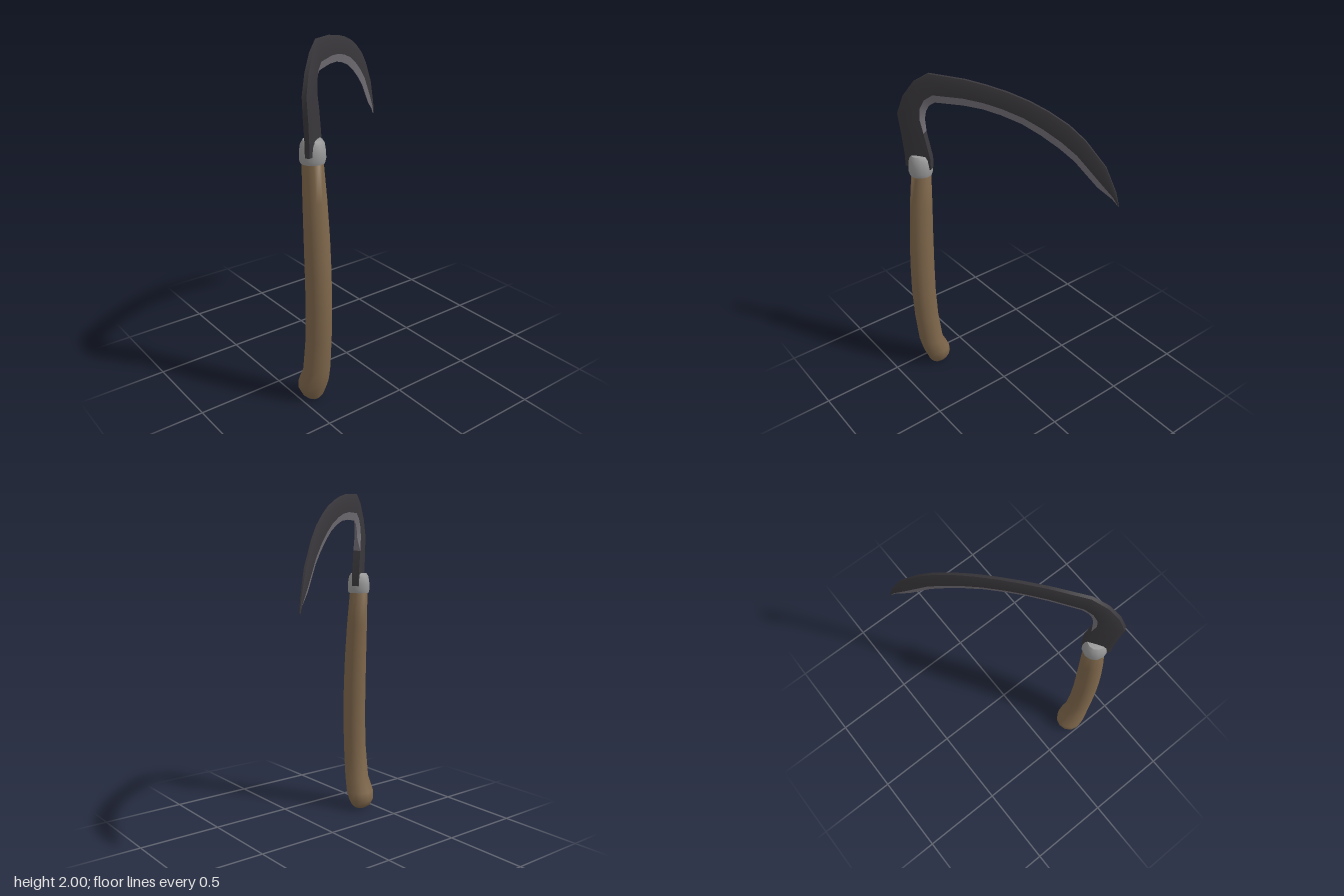
import * as THREE from 'three';
import { toCreasedNormals } from 'three/addons/utils/BufferGeometryUtils.js';

// Skin a list of closed rings (each a list of [x, y, z]) and cap both ends.
function loft(rings, crease) {
  const n = rings[0].length, last = (rings.length - 1) * n;
  const pos = rings.flat(2), index = [];
  for (let i = 0; i < rings.length - 1; i++) {
    for (let j = 0; j < n; j++) {
      const a = i * n + j, b = i * n + (j + 1) % n;
      index.push(a, a + n, b, b, a + n, b + n);
    }
  }
  for (let j = 1; j < n - 1; j++) {
    index.push(0, j, j + 1, last, last + j + 1, last + j);
  }
  const geo = new THREE.BufferGeometry();
  geo.setAttribute('position', new THREE.Float32BufferAttribute(pos, 3));
  geo.setIndex(index);
  geo.computeVertexNormals();
  return crease ? toCreasedNormals(geo, crease) : geo;
}

function part(name, geo, color) {
  const mesh = new THREE.Mesh(geo, new THREE.MeshStandardMaterial({ color }));
  mesh.name = name;
  return mesh;
}

export function createModel() {
  const model = new THREE.Group();
  model.name = 'sickle';

  // Wooden handle: [y, left edge x, right edge x, half depth]
  const grip = [
    [0, 0.2, 0.28, 0.04], [0.02, 0.17, 0.293, 0.062], [0.06, 0.152, 0.308, 0.082],
    [0.11, 0.158, 0.328, 0.087], [0.2, 0.2, 0.35, 0.076], [0.4, 0.223, 0.37, 0.071],
    [0.6, 0.23, 0.378, 0.07], [0.8, 0.228, 0.374, 0.07], [1, 0.223, 0.363, 0.068],
    [1.2, 0.215, 0.347, 0.063], [1.42, 0.209, 0.321, 0.055],
  ];
  const sides = 12;
  const gripRings = grip.map(([y, x0, x1, d]) => Array.from({ length: sides }, (_, j) => {
    const a = j / sides * Math.PI * 2;
    return [(x0 + x1) / 2 + Math.cos(a) * (x1 - x0) / 2, y, 0.42 + Math.sin(a) * d];
  }));
  model.add(part('handle', loft(gripRings), 0x80684c));

  // Domed metal collar
  const profile = [[0, 1.4], [0.064, 1.4], [0.069, 1.42], [0.068, 1.46], [0.062, 1.5], [0.05, 1.52], [0, 1.525]];
  const collar = part('ferrule', toCreasedNormals(new THREE.LatheGeometry(
    profile.map(([r, y]) => new THREE.Vector2(r, y)), 12), 0.9), 0x999999);
  collar.position.set(0.267, 0, 0.42);
  model.add(collar);

  // Blade stations: [outer x, outer y, inner x, inner y, half thickness, where the bevel starts]
  const stations = [
    [-0.083, 1.444, 0.073, 1.444, 0.024, 1],
    [-0.083, 1.51, 0.073, 1.51, 0.025, 1],
    [-0.095, 1.64, 0.042, 1.66, 0.026, 1],
    [-0.11, 1.757, 0.046, 1.74, 0.024, 0.85],
    [-0.07, 1.863, 0.055, 1.785, 0.022, 0.78],
    [-0.005, 1.948, 0.075, 1.82, 0.019, 0.74],
    [0.08, 2, 0.111, 1.842, 0.017, 0.72],
    [0.28, 1.99, 0.27, 1.845, 0.016, 0.7],
    [0.4, 1.972, 0.38, 1.837, 0.016, 0.7],
    [0.513, 1.948, 0.475, 1.817, 0.015, 0.7],
    [0.63, 1.912, 0.59, 1.782, 0.015, 0.7],
    [0.733, 1.868, 0.69, 1.733, 0.014, 0.7],
    [0.84, 1.808, 0.79, 1.673, 0.014, 0.7],
    [0.929, 1.735, 0.876, 1.61, 0.013, 0.7],
    [1.045, 1.6, 1.006, 1.476, 0.011, 0.7],
    [1.109, 1.46, 1.09, 1.417, 0.007, 0.7],
    [1.13, 1.38, 1.127, 1.378, 0.004, 0.7],
  ];
  const at = ([ox, oy, ix, iy], f, z) => [ox + (ix - ox) * f, oy + (iy - oy) * f, z];
  const bodyRings = stations.map((s) => {
    const t = s[4], b = s[5];
    return [at(s, 0, t * 0.5), at(s, 0, -t * 0.5), at(s, 0.22, -t), at(s, b, -t * 0.85),
      at(s, b, t * 0.85), at(s, 0.22, t)];
  });
  const edgeRings = stations.slice(2).map((s) => {
    const t = s[4], b = s[5], e = b === 1 ? 0.85 : 0.1;
    return [at(s, b, t * 0.85), at(s, b, -t * 0.85), at(s, 1, -t * e), at(s, 1, t * e)];
  });
  const blade = new THREE.Group();
  blade.name = 'blade';
  blade.add(part('bladeBody', loft(bodyRings, 0.7), 0x39373b));
  blade.add(part('cuttingEdge', loft(edgeRings, 0.7), 0x77737a));
  blade.position.set(0.27, 0, 0.42);
  blade.rotation.y = Math.atan2(0.818, -0.575);
  model.add(blade);

  return model;
}
